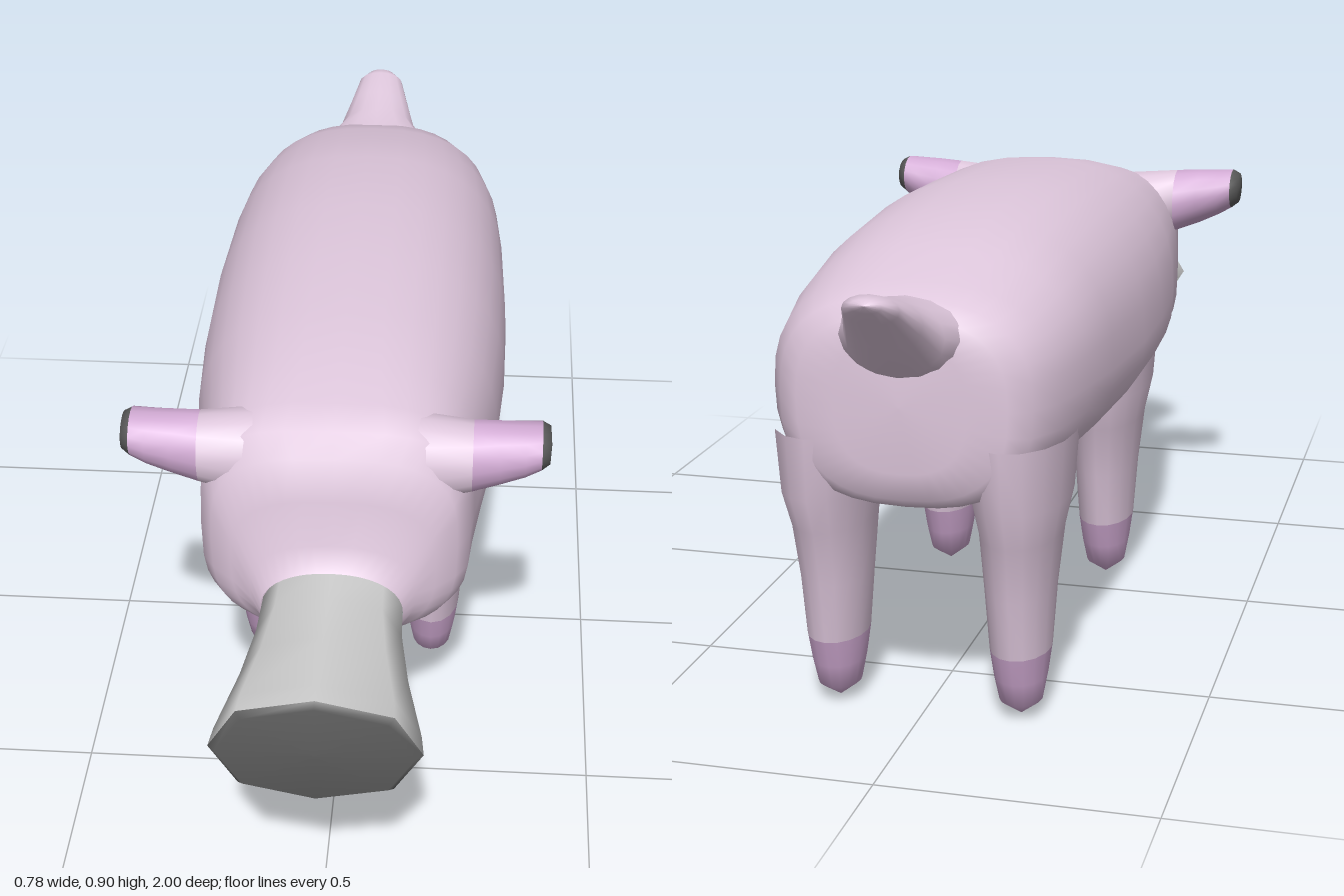
import * as THREE from 'three';

const material = (name, color) => {
  const m = new THREE.MeshStandardMaterial({ color });
  m.name = name;
  return m;
};

// Each section is [t, u, v, ru, rv, exponent, rv below]: a superellipse ring at t along the axis.
// Axis z uses (u, v) = (x, y); axis y uses (z, x); axis x uses (y, z).
function loft(sections, axis, segs = 24, mirrored = false) {
  const pos = [], index = [];
  const shape = (a, n) => Math.sign(a) * Math.pow(Math.abs(a), 2 / n);
  for (const [t, u, v, ru, rv, n = 2, rvLow = rv] of sections) {
    for (let j = 0; j < segs; j++) {
      const a = (j / segs) * Math.PI * 2;
      const s = Math.abs(Math.sin(a)) < 1e-9 ? 0 : Math.sin(a);
      const c = Math.abs(Math.cos(a)) < 1e-9 ? 0 : Math.cos(a);
      const p = u + ru * shape(c, n);
      const q = v + (s < 0 ? rvLow : rv) * shape(s, n);
      const [x, y, z] = axis === 'z' ? [p, q, t] : axis === 'y' ? [q, t, p] : [t, p, q];
      pos.push(mirrored ? -x : x, y, z);
    }
  }
  for (let i = 0; i < sections.length - 1; i++) {
    for (let j = 0; j < segs; j++) {
      const a = i * segs + j, b = i * segs + (j + 1) % segs;
      const c = b + segs, d = a + segs;
      // Rings of zero radius are poles, so skip their empty triangles
      const tris = [];
      if (sections[i][3] > 0) tris.push([a, b, c]);
      if (sections[i + 1][3] > 0) tris.push([a, c, d]);
      for (const [k, l, m] of tris) mirrored ? index.push(k, m, l) : index.push(k, l, m);
    }
  }
  const geo = new THREE.BufferGeometry();
  geo.setAttribute('position', new THREE.Float32BufferAttribute(pos, 3));
  geo.setIndex(index);
  geo.computeVertexNormals();
  return geo;
}

export function createModel() {
  const skin = material('pale pink skin', 0xdec7dc);
  const mauve = material('mauve hoof and ear', 0xd2abd4);
  const grey = material('light grey snout', 0xd2d2d2);
  const dark = material('dark grey tip', 0x5c5c5c);

  const root = new THREE.Group();
  root.name = 'pig';
  const add = (name, geo, mat, parent = root) => {
    const mesh = new THREE.Mesh(geo, mat);
    mesh.name = name;
    parent.add(mesh);
  };

  // Body and head: z, half width, top, widest height, bottom, squareness
  const body = [
    [-0.822, 0, 0.62, 0.62, 0.62, 2],
    [-0.82, 0.12, 0.74, 0.62, 0.50, 2.5],
    [-0.81, 0.19, 0.78, 0.62, 0.45, 2.6],
    [-0.785, 0.228, 0.805, 0.62, 0.43, 2.6],
    [-0.72, 0.262, 0.825, 0.62, 0.42, 2.5],
    [-0.60, 0.287, 0.857, 0.62, 0.415, 2.4],
    [-0.45, 0.30, 0.888, 0.61, 0.418, 2.4],
    [-0.20, 0.31, 0.903, 0.60, 0.415, 2.4],
    [0, 0.308, 0.895, 0.60, 0.412, 2.4],
    [0.20, 0.295, 0.884, 0.60, 0.405, 2.5],
    [0.35, 0.272, 0.86, 0.60, 0.40, 2.7],
    [0.45, 0.257, 0.835, 0.60, 0.40, 3.1],
    [0.515, 0.25, 0.815, 0.60, 0.40, 3.5],
    [0.55, 0.228, 0.775, 0.59, 0.40, 3.2],
    [0.573, 0.19, 0.70, 0.56, 0.40, 2.8],
    [0.585, 0.155, 0.61, 0.51, 0.40, 2.4],
    [0.615, 0.132, 0.57, 0.485, 0.40, 2.2],
  ].map(([z, w, top, mid, low, n]) => [z, 0, mid, w, top - mid, n, mid - low]);
  add('body', loft(body, 'z', 36), skin);

  // Tail
  add('tail', loft([
    [-1, 0, 0.842, 0, 0],
    [-0.99, 0, 0.839, 0.028, 0.012],
    [-0.965, 0, 0.828, 0.05, 0.026],
    [-0.90, 0, 0.79, 0.07, 0.045],
    [-0.84, 0, 0.752, 0.09, 0.07],
    [-0.79, 0, 0.735, 0.125, 0.075],
    [-0.70, 0, 0.73, 0.15, 0.07],
  ], 'z', 16), skin);

  // Snout, flaring to a flat dark end
  const rim = [0.985, 0, 0.475, 0.185, 0.11, 2.2];
  add('snout', loft([
    [0.58, 0, 0.484, 0.13, 0.084, 2.2],
    [0.68, 0, 0.484, 0.133, 0.084, 2.2],
    [0.80, 0, 0.48, 0.15, 0.092, 2.2],
    [0.94, 0, 0.475, 0.18, 0.108, 2.2],
    rim,
  ], 'z', 8), grey);
  add('snoutEnd', loft([
    rim,
    [0.997, 0, 0.475, 0.172, 0.10, 2.2],
    [1, 0, 0.475, 0, 0],
  ], 'z', 8), dark);

  for (const side of ['left', 'right']) {
    const flip = side === 'right';

    // Legs: z centre and a scale for front-to-back thickness
    for (const [end, z, k] of [['front', 0.107, 1], ['rear', -0.652, 0.88]]) {
      const leg = new THREE.Group();
      leg.name = `${side}${end === 'front' ? 'Front' : 'Rear'}Leg`;
      root.add(leg);
      const ankle = [0.135, z, 0.175, 0.094 * k, 0.056];
      add('hoof', loft([
        [0, z, 0.175, 0, 0],
        [0.032, z, 0.175, 0.055 * k, 0.04],
        [0.08, z, 0.175, 0.075 * k, 0.049],
        ankle,
      ], 'y', 16, flip), mauve, leg);
      add('upperLeg', loft([
        ankle,
        [0.25, z, 0.175, 0.115 * k, 0.064],
        [0.36, z, 0.177, 0.142 * k, 0.074],
        [0.43, z, 0.178, 0.175 * k, 0.088],
        [0.55, z, 0.175, 0.19 * k, 0.10],
      ], 'y', 16, flip), skin, leg);
    }

    // Ears with a skin base, mauve middle and dark tip
    const ear = new THREE.Group();
    ear.name = `${side}Ear`;
    root.add(ear);
    const base = [0.25, 0.752, 0.482, 0.068, 0.064];
    const tip = [0.374, 0.783, 0.487, 0.042, 0.052];
    add('earBase', loft([[0.15, 0.73, 0.46, 0.085, 0.085], base], 'x', 16, flip), skin, ear);
    add('earMiddle', loft([
      base,
      [0.30, 0.763, 0.485, 0.06, 0.058],
      [0.345, 0.774, 0.487, 0.05, 0.056],
      tip,
    ], 'x', 16, flip), mauve, ear);
    add('earTip', loft([
      tip,
      [0.389, 0.785, 0.487, 0.032, 0.042],
      [0.392, 0.785, 0.487, 0, 0],
    ], 'x', 16, flip), dark, ear);
  }
  return root;
}
